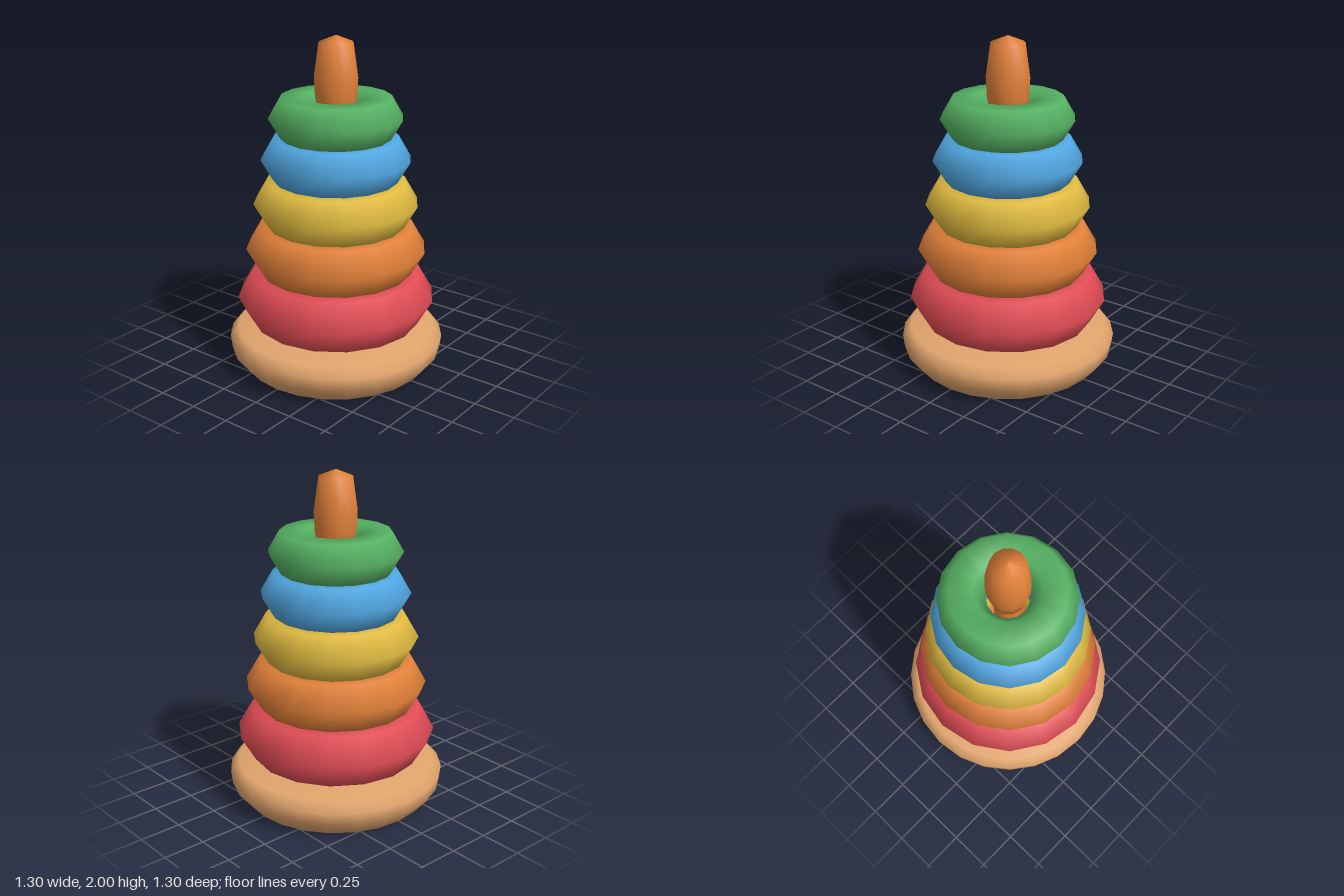
import * as THREE from 'three';

const paint = (name, color) => {
  const m = new THREE.MeshStandardMaterial({ color });
  m.name = name;
  return m;
};

// Turned part from [radius, height] pairs, listed from bottom to top
function turned(name, profile, sides, material) {
  const points = profile.map(([r, y]) => new THREE.Vector2(r, y));
  const mesh = new THREE.Mesh(new THREE.LatheGeometry(points, sides), material);
  mesh.name = name;
  return mesh;
}

// Six-sided tube bent into a flat-lying ring
function ring(name, outer, tube, y, material) {
  const geometry = new THREE.TorusGeometry(outer - tube, tube, 6, 16);
  geometry.rotateX(-Math.PI / 2);
  const mesh = new THREE.Mesh(geometry, material);
  mesh.name = name;
  mesh.position.y = y;
  return mesh;
}

export function createModel() {
  const group = new THREE.Group();
  group.name = 'stackingRings';

  const wood = paint('wood', 0xe0a46c);
  const orange = paint('orange', 0xe08038);
  const red = paint('red', 0xe04c54);
  const yellow = paint('yellow', 0xdfba40);
  const blue = paint('blue', 0x50a6e0);
  const green = paint('green', 0x55b062);

  // Rounded base
  group.add(turned('base', [
    [0, 0], [0.565, 0], [0.64, 0.09], [0.65, 0.17], [0.6, 0.225], [0.3, 0.252], [0, 0.26],
  ], 24, wood));

  // Thin shaft through the rings, and the thicker grip above
  group.add(turned('shaft', [[0.08, 0.2], [0.08, 1.58]], 12, orange));
  group.add(turned('grip', [
    [0, 1.5], [0.1, 1.53], [0.122, 1.64], [0.128, 1.76], [0.1, 1.96], [0, 2],
  ], 12, orange));

  // Rings: outer radius, tube radius, height of centre
  const rings = [
    ['redRing', 0.595, 0.177, 0.424, red],
    ['orangeRing', 0.54, 0.162, 0.73, orange],
    ['yellowRing', 0.49, 0.154, 1.012, yellow],
    ['blueRing', 0.442, 0.145, 1.28, blue],
    ['greenRing', 0.394, 0.136, 1.527, green],
  ];
  for (const r of rings) group.add(ring(...r));

  return group;
}
